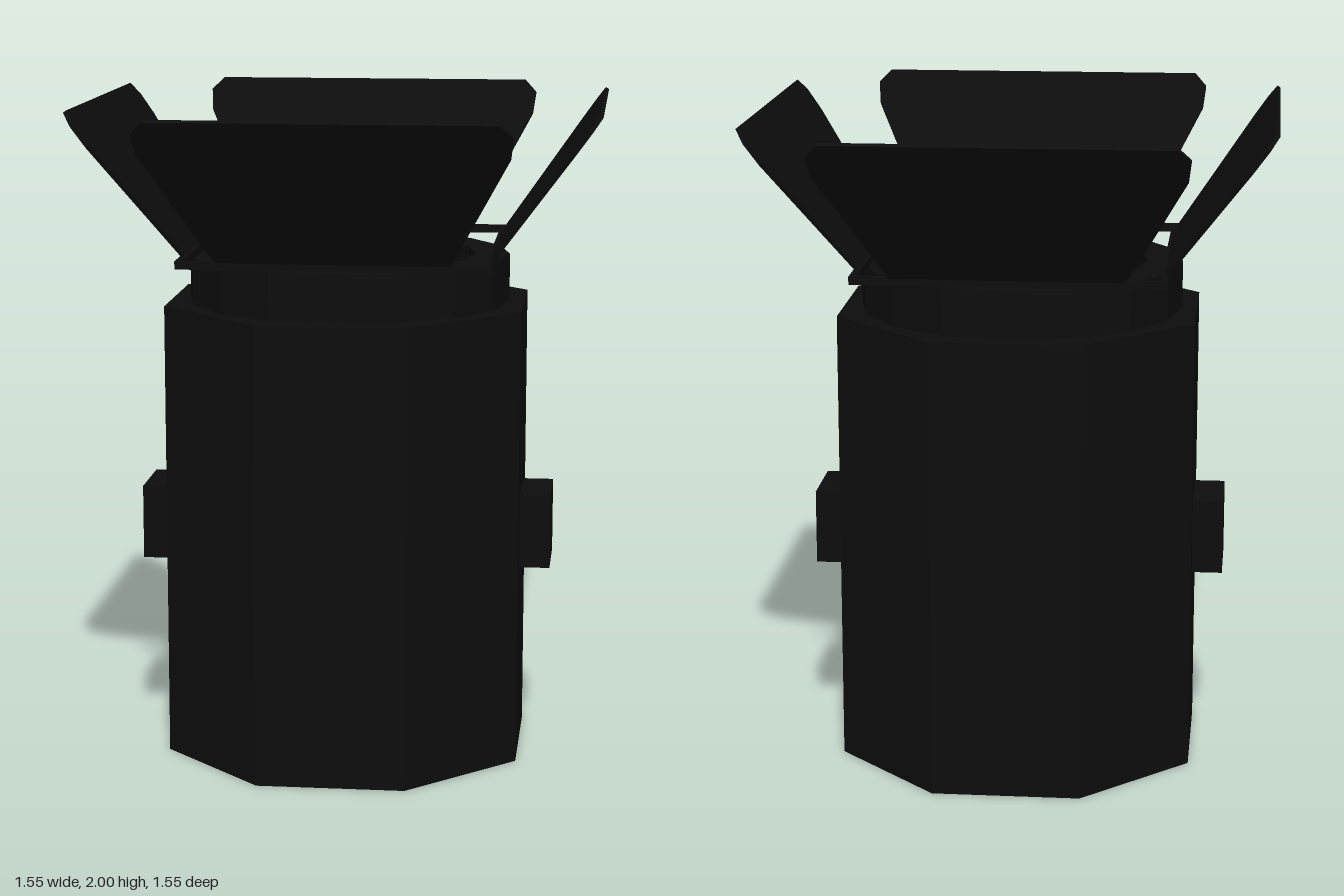
import * as THREE from 'three';

const dark = new THREE.MeshStandardMaterial({ color: 0x0d0d0d, flatShading: true });
const grey = new THREE.MeshStandardMaterial({ color: 0xcccccc, flatShading: true });
const yellow = new THREE.MeshStandardMaterial({ color: 0xe8ea72, flatShading: true });

function add(parent, name, geometry, material) {
  const mesh = new THREE.Mesh(geometry, material);
  mesh.name = name;
  parent.add(mesh);
  return mesh;
}

function lathe(points, sides, start = 0) {
  return new THREE.LatheGeometry(points.map(([r, y]) => new THREE.Vector2(r, y)), sides, start);
}

function shapeFrom(points) {
  return new THREE.Shape(points.map(([x, y]) => new THREE.Vector2(x, y)));
}

function square(h) {
  return [[-h, -h], [h, -h], [h, h], [-h, h]];
}

export function createModel() {
  const model = new THREE.Group();
  model.name = 'stageLight';

  // Octagonal housing with its flats facing the axes, open under the collar
  const corner = 0.535 / Math.cos(Math.PI / 8);
  add(model, 'housing', lathe([[0, 0], [corner, 0], [corner, 1.39], [0.43, 1.39]], 8, Math.PI / 8), dark);

  // Round collar with a recessed opening
  add(model, 'collar', lathe([[0.49, 1.39], [0.49, 1.533], [0.385, 1.533], [0.385, 1.43]], 16), dark);

  // Faceted reflector bowl and bulb
  add(model, 'reflector', lathe([[0.385, 1.43], [0.305, 1.27], [0.115, 1.08], [0, 1.08]], 16), grey);
  add(model, 'bulb', new THREE.CylinderGeometry(0.117, 0.117, 0.03, 16), yellow).position.y = 1.085;

  // Thin square frame carrying the barn doors
  const frameShape = shapeFrom(square(0.461));
  frameShape.holes.push(new THREE.Path(square(0.44).reverse().map(([x, y]) => new THREE.Vector2(x, y))));
  const frame = new THREE.ExtrudeGeometry(frameShape, { depth: 0.024, bevelEnabled: false });
  frame.rotateX(-Math.PI / 2).translate(0, 1.538, 0);
  add(model, 'doorFrame', frame, dark);

  // Four flared barn doors with clipped outer corners
  const rise = 0.442, reach = 0.317, length = Math.hypot(rise, reach);
  const half = [[0.34, 0], [0.525, 0.77 * length], [0.533, 0.91 * length], [0.497, 0.993 * length]];
  const outline = [...half, ...half.map(([x, y]) => [-x, y]).reverse()];
  const door = new THREE.ExtrudeGeometry(shapeFrom(outline), { depth: 0.012, bevelEnabled: false });
  door.translate(0, 0, -0.006).rotateX(Math.atan2(reach, rise)).translate(0, 1.557, 0.453);
  ['frontDoor', 'leftDoor', 'backDoor', 'rightDoor'].forEach((name, i) => {
    add(model, name, door, dark).rotation.y = i * Math.PI / 2;
  });

  // Mounting blocks on both sides
  for (const [name, side] of [['leftMount', 1], ['rightMount', -1]]) {
    add(model, name, new THREE.BoxGeometry(0.11, 0.226, 0.235), dark).position.set(side * 0.572, 0.698, 0);
  }

  return model;
}
